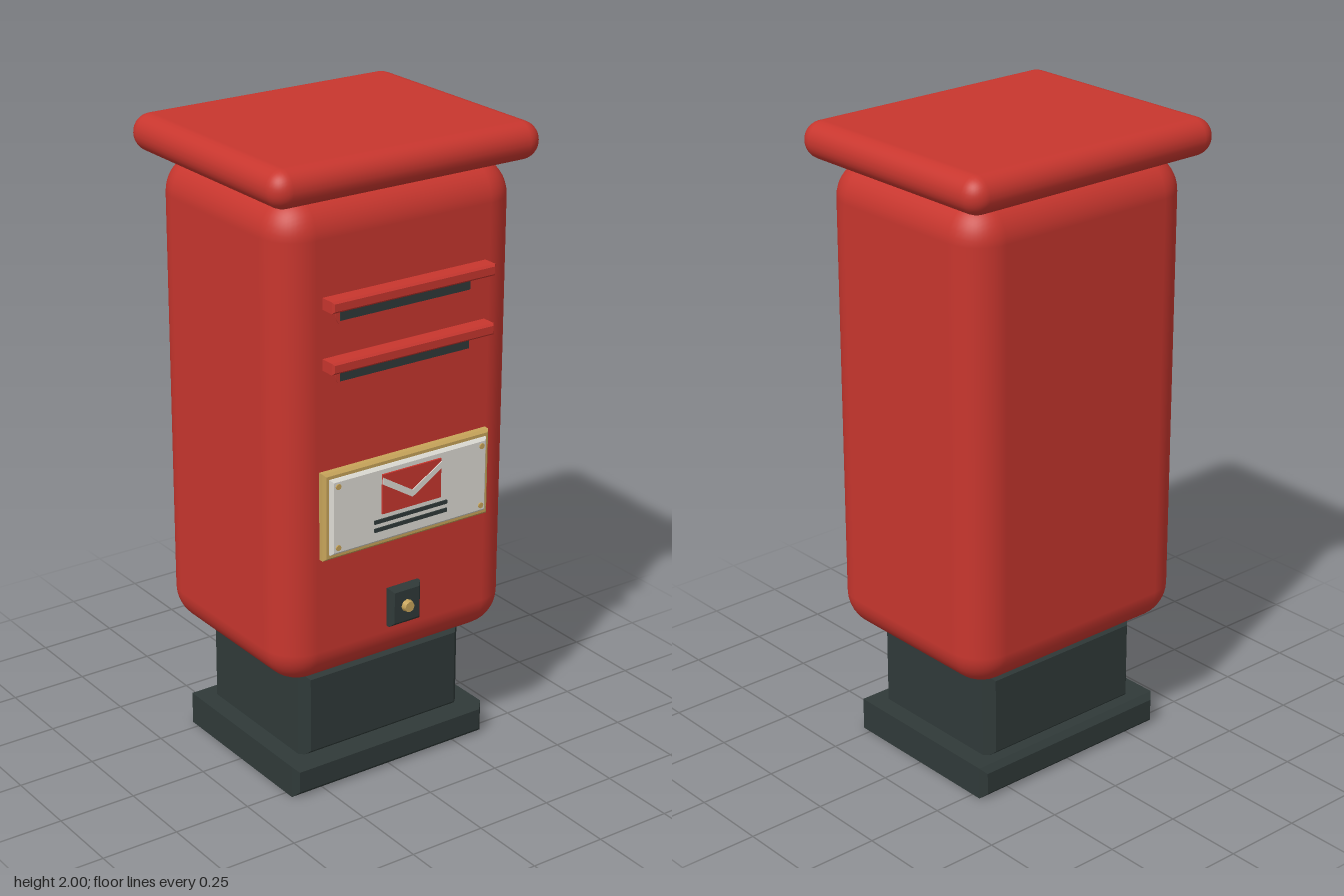
import * as THREE from 'three';
import { RoundedBoxGeometry } from 'three/addons/geometries/RoundedBoxGeometry.js';

const material = (name, color) => {
  const m = new THREE.MeshStandardMaterial({ color });
  m.name = name;
  return m;
};

export function createModel() {
  const red = material('postbox red', 0xc8362e);
  const dark = material('dark iron', 0x303a39);
  const white = material('plate white', 0xdedcd5);
  const brass = material('brass', 0xc8a55a);

  const model = new THREE.Group();
  model.name = 'postbox';

  const add = (name, geometry, mat, x = 0, y = 0, z = 0) => {
    const mesh = new THREE.Mesh(geometry, mat);
    mesh.name = name;
    mesh.position.set(x, y, z);
    model.add(mesh);
    return mesh;
  };

  // Plain box given by width, bottom, top, back and front
  const box = (name, mat, w, y0, y1, z0, z1) =>
    add(name, new THREE.BoxGeometry(w, y1 - y0, z1 - z0), mat, 0, (y0 + y1) / 2, (z0 + z1) / 2);

  // Block whose front and back edges are chamfered
  const chamfered = (name, mat, w, y0, y1, z0, z1, c) => {
    const hw = w / 2 - c, a = y0 + c, b = y1 - c;
    const shape = new THREE.Shape([[-hw, a], [hw, a], [hw, b], [-hw, b]].map(p => new THREE.Vector2(...p)));
    const geometry = new THREE.ExtrudeGeometry(shape, {
      depth: z1 - z0 - 2 * c, bevelSize: c, bevelThickness: c, bevelSegments: 1,
    });
    return add(name, geometry, mat, 0, 0, z0 + c);
  };

  // Foot
  chamfered('plinth', dark, 0.72, 0, 0.105, -0.3, 0.3, 0.018);
  chamfered('pedestal', dark, 0.6, 0.09, 0.39, -0.257, 0.257, 0.028);

  // Body and lid
  add('body', new RoundedBoxGeometry(0.84, 1.505, 0.69, 5, 0.115), red, 0, 1.1375, 0);
  add('lid', new RoundedBoxGeometry(0.934, 0.115, 0.787, 4, 0.057), red, 0, 1.9425, -0.0045);

  // Letter slots, each with a hood, a rounded surround and a dark opening
  for (const top of [1.607, 1.425]) {
    chamfered('slotHood', red, 0.575, top - 0.035, top, 0.33, 0.397, 0.006);
    const s = new THREE.Shape();
    s.moveTo(-0.245, top - 0.03);
    s.lineTo(-0.245, top - 0.06);
    s.quadraticCurveTo(-0.24, top - 0.095, -0.21, top - 0.095);
    s.lineTo(0.21, top - 0.095);
    s.quadraticCurveTo(0.24, top - 0.095, 0.245, top - 0.06);
    s.lineTo(0.245, top - 0.03);
    add('slotSurround', new THREE.ExtrudeGeometry(s, { depth: 0.006, bevelEnabled: false }), red, 0, 0, 0.342);
    box('slotOpening', dark, 0.46, top - 0.079, top - 0.03, 0.342, 0.35);
  }

  // Notice plate in its brass frame
  chamfered('noticeFrame', brass, 0.6, 0.805, 1.08, 0.335, 0.37, 0.008);
  chamfered('noticePlate', white, 0.565, 0.824, 1.062, 0.352, 0.383, 0.008);
  for (const x of [-0.26, 0.26]) for (const y of [0.847, 1.04]) {
    add('plateScrew', new THREE.CylinderGeometry(0.009, 0.009, 0.008, 8), brass, x, y, 0.383).rotation.x = Math.PI / 2;
  }

  // Envelope with its flap line, and two printed rules
  box('envelope', red, 0.212, 0.915, 1.04, 0.382, 0.389);
  const flap = new THREE.Shape([
    [-0.106, 1.032], [0, 0.967], [0.106, 1.032], [0.106, 1.01], [0, 0.945], [-0.106, 1.01],
  ].map(p => new THREE.Vector2(...p)));
  add('envelopeFlap', new THREE.ExtrudeGeometry(flap, { depth: 0.005, bevelEnabled: false }), white, 0, 0, 0.387);
  for (const y of [0.893, 0.867]) box('printedRule', dark, 0.264, y - 0.006, y + 0.006, 0.382, 0.387);

  // Lock
  chamfered('lockPlate', dark, 0.114, 0.52, 0.645, 0.33, 0.37, 0.012);
  add('lockBarrel', new THREE.CylinderGeometry(0.017, 0.021, 0.02, 8), brass, 0, 0.582, 0.376).rotation.x = Math.PI / 2;

  return model;
}
